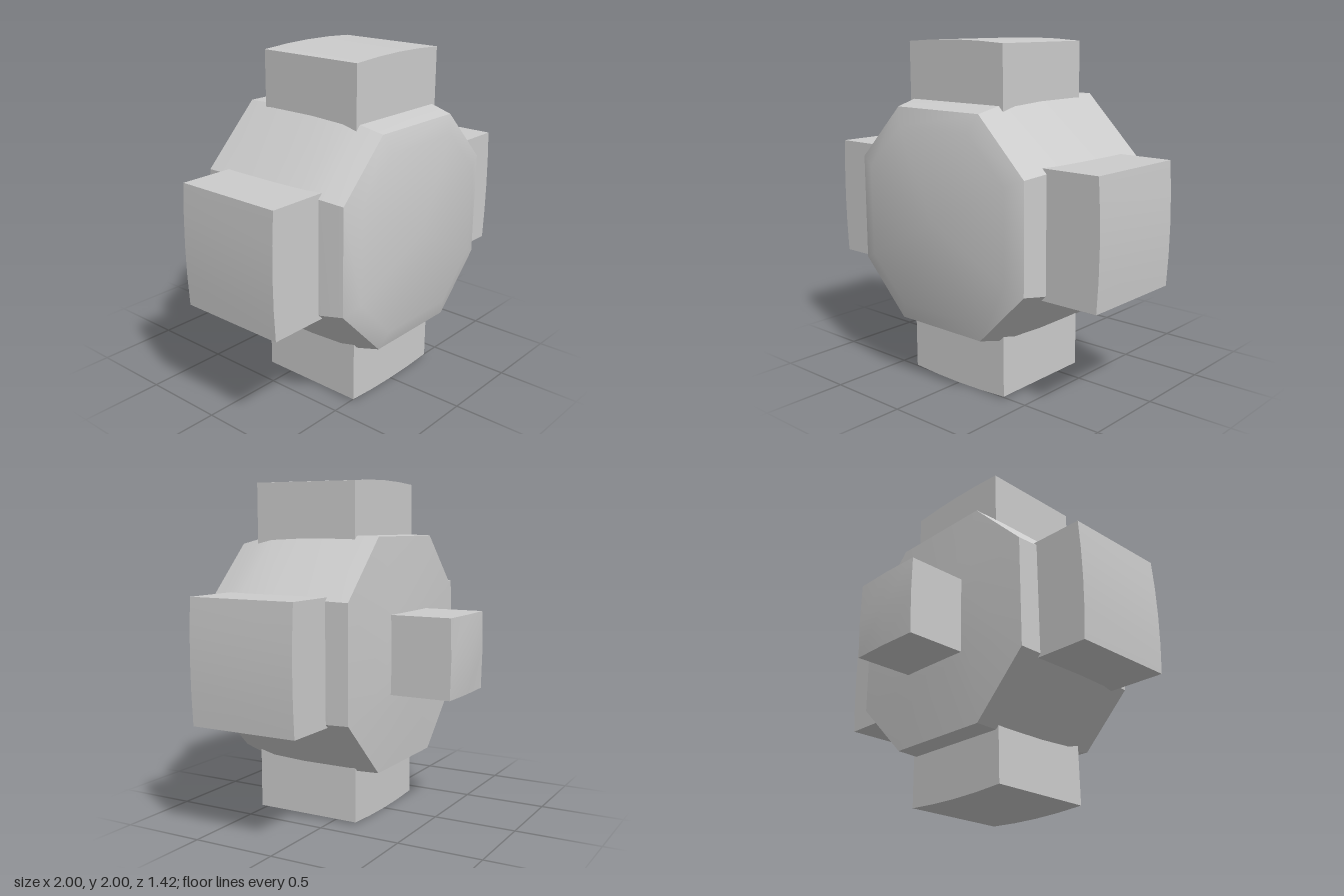
import * as THREE from 'three';
import { toCreasedNormals } from 'three/addons/utils/BufferGeometryUtils.js';

const material = new THREE.MeshStandardMaterial({ color: 0xcccccc });

function addPart(group, name, geometry) {
  const mesh = new THREE.Mesh(toCreasedNormals(geometry, 0.6), material);
  mesh.name = name;
  group.add(mesh);
  return mesh;
}

// Joins octagonal sections [z, half extent, half width of each flat], back to front
function loftOctagons(sections) {
  const rings = sections.map(([z, a, b]) =>
    [[a, -b], [a, b], [b, a], [-b, a], [-a, b], [-a, -b], [-b, -a], [b, -a]].map(([x, y]) => [x, y, z]));
  const positions = [];
  for (let i = 0; i < rings.length - 1; i++) {
    const low = rings[i], high = rings[i + 1];
    for (let j = 0; j < 8; j++) {
      const k = (j + 1) % 8;
      if (sections[i][1] > 0) positions.push(...low[j], ...low[k], ...high[k]);
      if (sections[i + 1][1] > 0) positions.push(...low[j], ...high[k], ...high[j]);
    }
  }
  const geometry = new THREE.BufferGeometry();
  geometry.setAttribute('position', new THREE.Float32BufferAttribute(positions, 3));
  return geometry;
}

// Block pointing up, with an outer face crowned across its width
function crownedBlock() {
  const bottom = 0.6, edge = 0.986, w = 0.357;
  const geometry = new THREE.BoxGeometry(2 * w, edge - bottom, 0.665, 4, 1, 1);
  geometry.translate(0, (edge + bottom) / 2, 0.183);
  const p = geometry.attributes.position;
  for (let i = 0; i < p.count; i++) {
    if (p.getY(i) > 0.9) p.setY(i, edge + 0.014 * (1 - (p.getX(i) / w) ** 2));
  }
  return geometry;
}

// Square peg pointing backwards, with an end domed in both directions
function domedPeg() {
  const w = 0.232, front = -0.26, edge = -0.684;
  const geometry = new THREE.BoxGeometry(2 * w, 2 * w, front - edge, 2, 2, 1);
  geometry.translate(0, 0, (front + edge) / 2);
  const p = geometry.attributes.position;
  for (let i = 0; i < p.count; i++) {
    if (p.getZ(i) > -0.5) continue;
    const u = 1 - Math.abs(p.getX(i)) / w, v = 1 - Math.abs(p.getY(i)) / w;
    p.setZ(i, edge - 0.006 * (u + v) - 0.014 * u * v);
  }
  return geometry;
}

export function createModel() {
  const model = new THREE.Group();
  model.name = 'octagonalHub';

  // Main body with a domed back, slightly barrelled wall and bevelled front
  const body = addPart(model, 'body', loftOctagons([
    [-0.322, 0, 0],
    [-0.316, 0.28, 0.14],
    [-0.288, 0.675, 0.333],
    [-0.1, 0.681, 0.338],
    [0.2, 0.681, 0.338],
    [0.42, 0.673, 0.335],
    [0.53, 0.655, 0.327],
    [0.657, 0.625, 0.31],
    [0.695, 0.52, 0.265],
    [0.707, 0, 0],
  ]));
  body.position.y = 1;

  // Four blocks around the rim
  ['topBlock', 'leftBlock', 'bottomBlock', 'rightBlock'].forEach((name, i) => {
    const block = addPart(model, name, crownedBlock());
    block.position.y = 1;
    block.rotation.z = -i * Math.PI / 2;
  });

  // Peg on the back
  const peg = addPart(model, 'backPeg', domedPeg());
  peg.position.y = 1;

  return model;
}
